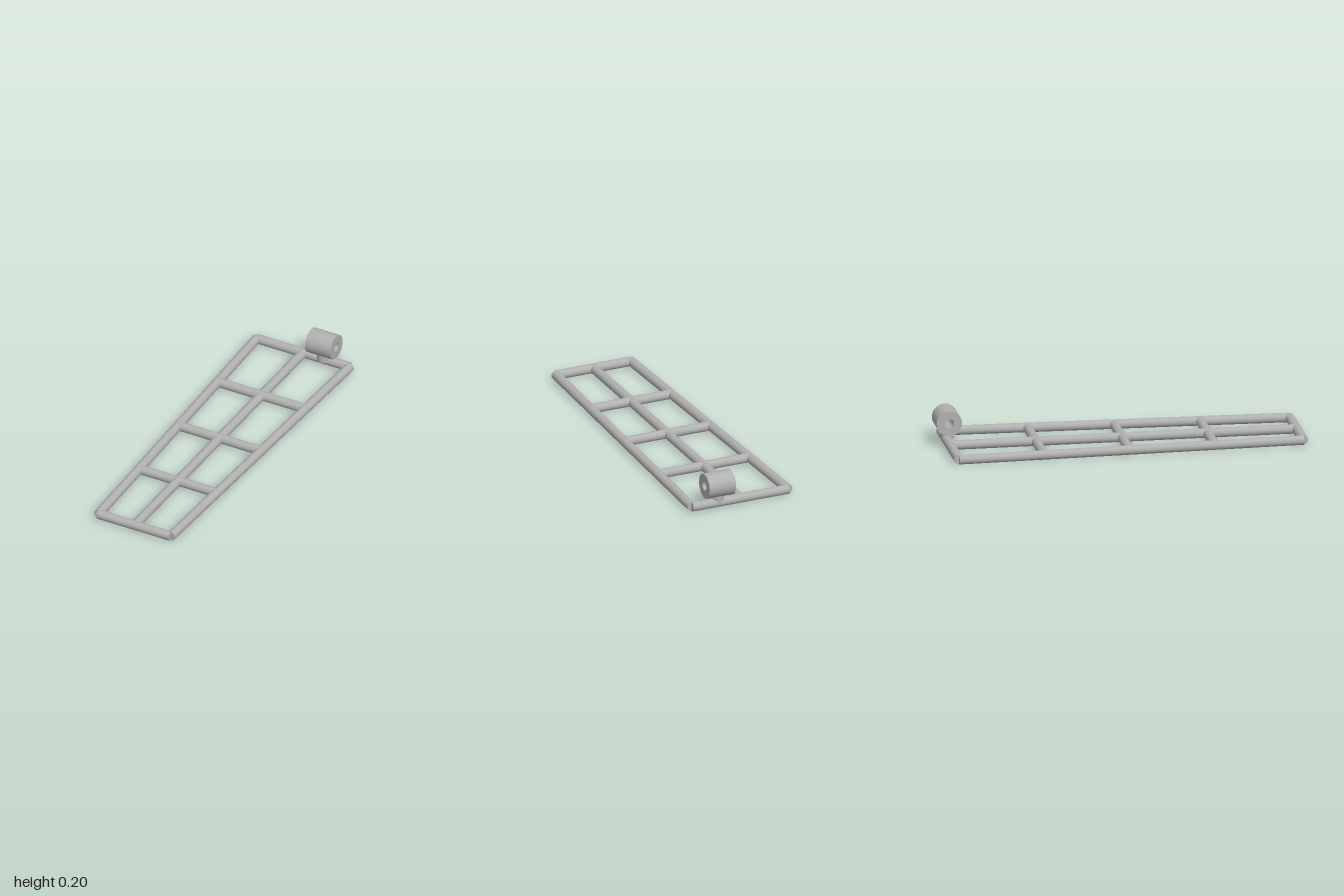
import * as THREE from 'three';

export function createModel() {
  const model = new THREE.Group();
  const steel = new THREE.MeshStandardMaterial({ color: 0xb0b0b0 });
  steel.name = 'grey steel';

  const R = 0.026; // tube radius, also the height of the tube centres
  const FRONT = 0.974, BACK = -0.936;
  const HALF_FRONT = 0.224, HALF_BACK = 0.288;

  const add = (name, geometry) => {
    const mesh = new THREE.Mesh(geometry, steel);
    mesh.name = name;
    model.add(mesh);
    return mesh;
  };

  // Round bar lying flat between two points (x, z)
  const bar = (name, x1, z1, x2, z2) => {
    const a = new THREE.Vector3(x1, R, z1);
    const b = new THREE.Vector3(x2, R, z2);
    const mesh = add(name, new THREE.CylinderGeometry(R, R, a.distanceTo(b), 32));
    mesh.position.copy(a).add(b).multiplyScalar(0.5);
    mesh.quaternion.setFromUnitVectors(new THREE.Vector3(0, 1, 0), b.sub(a).normalize());
  };

  // Half width of the tapered frame at depth z
  const halfWidth = (z) =>
    THREE.MathUtils.mapLinear(z, BACK, FRONT, HALF_BACK, HALF_FRONT);

  // Tapered outer frame and centre rail
  bar('leftRail', HALF_FRONT, FRONT, HALF_BACK, BACK);
  bar('rightRail', -HALF_FRONT, FRONT, -HALF_BACK, BACK);
  bar('centreRail', 0, FRONT, 0, BACK);
  bar('frontBar', -HALF_FRONT, FRONT, HALF_FRONT, FRONT);
  bar('backBar', -HALF_BACK, BACK, HALF_BACK, BACK);

  // Inner cross bars
  [-0.463, 0.011, 0.484].forEach((z, i) => {
    bar('crossBar' + (i + 1), -halfWidth(z), z, halfWidth(z), z);
  });

  // Hinge sleeve: thick tube with a through hole along x
  const outline = new THREE.Shape().absarc(0, 0, 0.07, 0, Math.PI * 2);
  outline.holes.push(new THREE.Path().absarc(0, 0, 0.025, 0, Math.PI * 2, true));
  const sleeveGeometry = new THREE.ExtrudeGeometry(outline, {
    depth: 0.157, bevelEnabled: false, curveSegments: 48,
  });
  // Smooth the curved walls while keeping the flat ends sharp
  const pos = sleeveGeometry.attributes.position;
  const nor = sleeveGeometry.attributes.normal;
  for (let i = 0; i < pos.count; i++) {
    if (Math.abs(nor.getZ(i)) > 0.5) continue;
    const r = Math.hypot(pos.getX(i), pos.getY(i));
    const s = r > 0.05 ? 1 / r : -1 / r;
    nor.setXYZ(i, pos.getX(i) * s, pos.getY(i) * s, 0);
  }
  sleeveGeometry.translate(0, 0, -0.157 / 2).rotateY(Math.PI / 2);
  add('hingeSleeve', sleeveGeometry).position.set(0.131, 0.132, -0.93);

  // Short post joining the sleeve to the back bar
  add('hingePost', new THREE.CylinderGeometry(0.036, 0.036, 0.052, 32))
    .position.set(0.131, 0.056, -0.928);

  return model;
}
